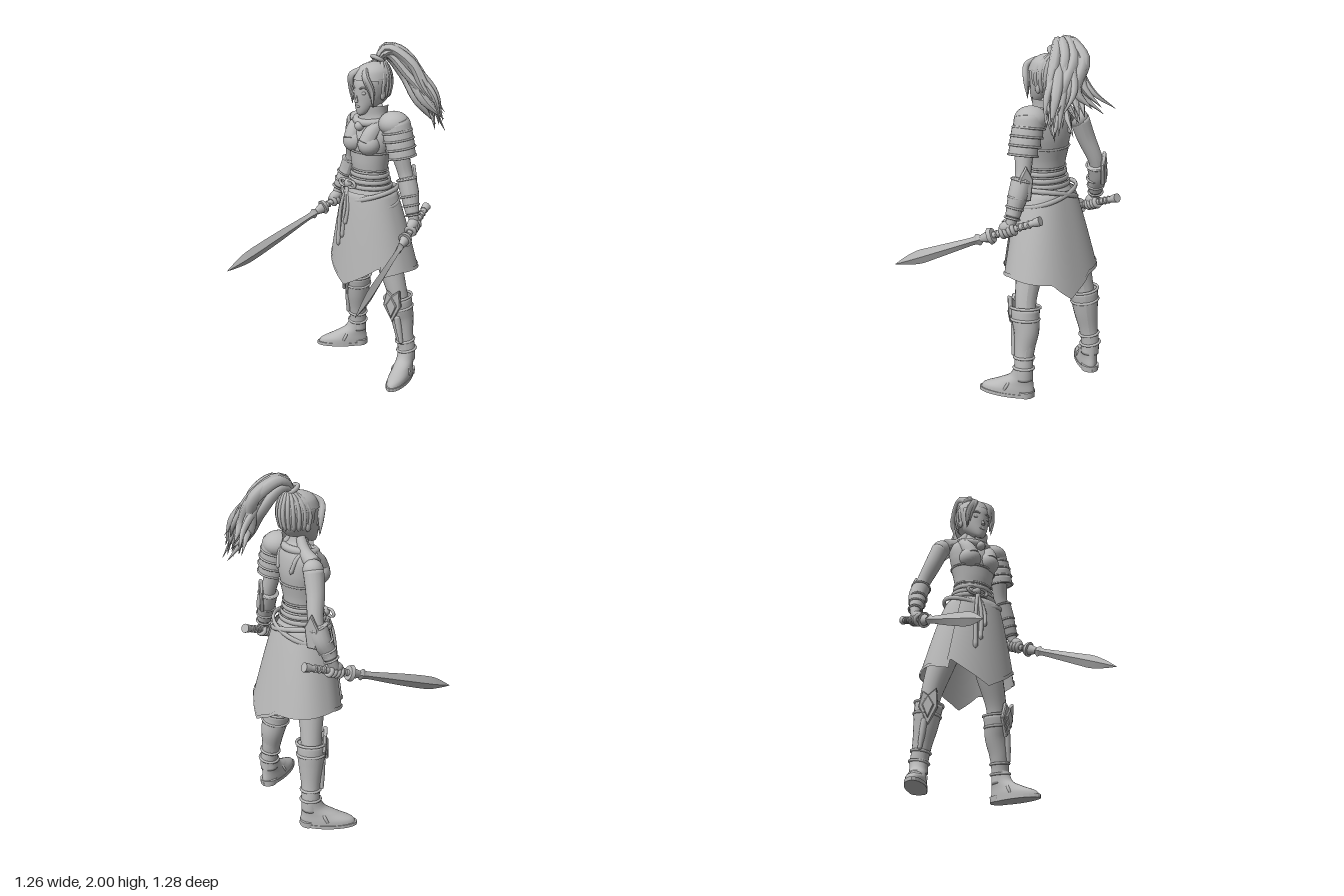
import * as THREE from 'three';
import { ParametricGeometry } from 'three/addons/geometries/ParametricGeometry.js';

const V = (x, y, z) => new THREE.Vector3(x, y, z);
const grey = new THREE.MeshStandardMaterial({ color: 0xb9b9b9, side: THREE.DoubleSide });
grey.name = 'plain grey';

function add(parent, name, geo, pos = [0, 0, 0], scale = [1, 1, 1], rot = [0, 0, 0]) {
  const m = new THREE.Mesh(geo, grey);
  m.name = name;
  m.position.set(...pos); m.scale.set(...scale); m.rotation.set(...rot);
  parent.add(m);
  return m;
}

// smooth interpolation through rows of numbers
function sample(rows, t) {
  const k = t * (rows.length - 1), i = Math.min(Math.floor(k), rows.length - 2), f = k - i;
  const at = j => rows[Math.max(0, Math.min(rows.length - 1, j))];
  return rows[0].map((_, c) => {
    const a = at(i - 1)[c], b = at(i)[c], d = at(i + 1)[c], e = at(i + 2)[c];
    return b + 0.5 * f * (d - a + f * (2 * a - 5 * b + 4 * d - e + f * (3 * (b - d) + e - a)));
  });
}

// upright shell from elliptical rows [y, halfWidth, halfDepth, z]; angle 0 is the front
const shell = (rows, a0 = 0, a1 = Math.PI * 2, seg = 36, n = 36) => new ParametricGeometry((u, v, p) => {
  const [y, rx, rz, cz] = sample(rows, v), a = a0 + (a1 - a0) * u;
  p.set(Math.sin(a) * Math.max(rx, 0), y, cz + Math.cos(a) * Math.max(rz, 0));
}, seg, n);

// tapered tube through points [x, y, z, radius], closed at both ends
function limb(rows, seg = 24, sides = 14) {
  const curve = new THREE.CatmullRomCurve3(rows.map(r => V(r[0], r[1], r[2])));
  const g = new THREE.TubeGeometry(curve, seg, 1, sides), p = g.attributes.position, v = V();
  for (let i = 0; i <= seg; i++) {
    const u = i / seg, c = curve.getPointAt(u);
    const r = i % seg === 0 ? 0.0008 : sample(rows.map(q => [q[3]]), curve.getUtoTmapping(u))[0];
    for (let j = 0; j <= sides; j++) {
      const k = i * (sides + 1) + j;
      v.fromBufferAttribute(p, k).sub(c).multiplyScalar(r).add(c);
      p.setXYZ(k, v.x, v.y, v.z);
    }
  }
  g.computeVertexNormals();
  return g;
}

// strap around a limb, with its axis along dir
function strap(parent, name, pos, dir, r, tube = 0.008) {
  const m = add(parent, name, new THREE.TorusGeometry(r, tube, 8, 28), pos);
  m.quaternion.setFromUnitVectors(V(0, 0, 1), V(...dir).normalize());
}

// flat plate from outline points
function plate(points, depth = 0.014) {
  const s = new THREE.Shape(points.map(p => new THREE.Vector2(...p)));
  return new THREE.ExtrudeGeometry(s, { depth, bevelEnabled: true, bevelSize: 0.006, bevelThickness: 0.006, bevelSegments: 1 });
}

function buildTorso(b) {
  add(b, 'torso', shell([[0.98, 0.15, 0.12, -0.01], [1.1, 0.165, 0.135, -0.01], [1.2, 0.122, 0.1, 0], [1.27, 0.11, 0.088, 0],
    [1.36, 0.126, 0.098, -0.005], [1.45, 0.15, 0.104, -0.01], [1.53, 0.155, 0.088, -0.02], [1.585, 0.1, 0.065, -0.025],
    [1.625, 0.052, 0.05, -0.015], [1.7, 0.046, 0.046, -0.005]]));
  for (const s of [-1, 1]) {
    add(b, 'breastCup', new THREE.SphereGeometry(0.068, 24, 16), [s * 0.065, 1.435, 0.066], [1, 0.95, 0.95]);
    add(b, 'upperChest', limb([[s * 0.065, 1.44, 0.085, 0.05], [s * 0.075, 1.5, 0.06, 0.045], [s * 0.09, 1.56, 0, 0.035]]));
    add(b, 'shoulderStrap', limb([[s * 0.07, 1.48, 0.115, 0.012], [s * 0.085, 1.565, 0.035, 0.012], [s * 0.085, 1.56, -0.07, 0.012], [s * 0.06, 1.46, -0.115, 0.012]]));
    add(b, 'trapezius', limb([[s * 0.03, 1.65, -0.025, 0.025], [s * 0.09, 1.575, -0.035, 0.035], [s * 0.18, 1.53, -0.04, 0.045]]));
  }
  // bodice, belts and slanting hip belts
  add(b, 'bodice', shell([[1.27, 0.115, 0.094, 0], [1.32, 0.124, 0.1, 0], [1.385, 0.139, 0.108, -0.005]]));
  for (const [y, r, d] of [[1.385, 0.14, 0.109], [1.275, 0.117, 0.096]])
    add(b, 'bodiceEdge', new THREE.TorusGeometry(1, 0.05, 6, 40), [0, y, -0.003], [r, d, 0.12], [Math.PI / 2, 0, 0]);
  for (const [y, r, d] of [[1.18, 0.14, 0.118], [1.21, 0.13, 0.109], [1.245, 0.121, 0.1]])
    add(b, 'waistBelt', new THREE.TorusGeometry(1, 0.06, 8, 40), [0, y, 0], [r, d, 0.24], [Math.PI / 2, 0, 0]);
  for (const t of [-0.24, 0.28])
    add(b, 'hipBelt', new THREE.TorusGeometry(1, 0.06, 8, 40), [0, 1.115, -0.008], [0.186, 0.15, 0.24], [Math.PI / 2 + 0.15, t, 0]);
  add(b, 'sashKnot', new THREE.SphereGeometry(0.028, 14, 10), [-0.05, 1.19, 0.12]);
  for (const s of [-1, 1])
    add(b, 'sashLoop', new THREE.TorusGeometry(0.026, 0.009, 8, 18), [-0.05 + s * 0.035, 1.19, 0.13], [1.2, 0.8, 1]);
  [[-0.075, 0.8], [-0.04, 0.86], [-0.015, 0.95]].forEach(([x, y]) => add(b, 'hangingSash',
    limb([[-0.05, 1.18, 0.13, 0.01], [x, 1.05, 0.157, 0.011], [x - 0.01, y, 0.17, 0.014]])));
  // collar and scarf
  add(b, 'collar', shell([[1.55, 0.125, 0.09, -0.02], [1.6, 0.1, 0.08, -0.015], [1.655, 0.1, 0.085, -0.015]], -0.3, 2.4, 30, 10));
  add(b, 'scarf', new THREE.TorusGeometry(0.085, 0.022, 10, 36), [0, 1.57, -0.005], [1.1, 0.95, 1], [Math.PI / 2 + 0.2, 0, 0]);
  add(b, 'scarfKnot', new THREE.SphereGeometry(0.028, 14, 10), [0, 1.535, 0.085]);
}

function buildSkirt(b) {
  // the front hangs steeply; the back flares out with squarish corners
  const panel = (hem, grow, a0, a1, band) => new ParametricGeometry((u, v, p) => {
    const a = a0 + (a1 - a0) * u, y0 = hem(u), y = band ? y0 + 0.02 * v : y0 + (1.15 - y0) * v;
    const t = (1.15 - y) / 0.45, f = Math.pow(Math.max(t, 0), 0.85);
    const c = Math.cos(a), s = Math.sin(a), k = c < 0 ? 0.82 : 1;
    p.set(Math.sign(s) * Math.abs(s) ** k * (0.16 + 0.13 * f + grow), y,
      Math.sign(c) * Math.abs(c) ** k * (0.135 + 0.075 * f + grow) - 0.035 * t);
  }, 72, band ? 2 : 16);
  const tip = (u, m, w) => Math.max(0, 1 - Math.abs(u - m) / w);
  const back = u => 0.7 - 0.03 * tip(u, 0.46, 0.4) - 0.09 * tip(u, 0.46, 0.09) - 0.03 * Math.max(0, Math.abs(u - 0.5) * 2 - 0.75) / 0.25;
  const front = u => 0.72 - 0.14 * tip(u, 0.5, 0.45);
  add(b, 'skirtBack', panel(back, 0, 0.85, Math.PI * 2 - 0.85));
  add(b, 'skirtBackTrim', panel(back, 0.005, 0.85, Math.PI * 2 - 0.85, true));
  add(b, 'skirtFront', panel(front, 0.008, -0.9, 0.87));
  add(b, 'skirtFrontTrim', panel(front, 0.013, -0.9, 0.87, true));
}

function buildHead(b) {
  const h = new THREE.Group();
  h.name = 'head'; h.position.set(0, 0, -0.008); b.add(h);
  add(h, 'face', shell([[1.597, 0.004, 0.004, 0.085], [1.607, 0.026, 0.026, 0.075], [1.635, 0.05, 0.058, 0.05], [1.68, 0.074, 0.091, 0.02],
    [1.73, 0.086, 0.106, 0.008], [1.79, 0.092, 0.11, 0], [1.85, 0.078, 0.088, -0.01], [1.885, 0.03, 0.04, -0.01]]));
  add(h, 'nose', new THREE.ConeGeometry(0.012, 0.05, 8), [0, 1.7, 0.114], [1, 1, 1], [-0.2, 0, 0]);
  add(h, 'lips', new THREE.SphereGeometry(0.016, 12, 8), [0, 1.652, 0.105], [1.2, 0.5, 0.5]);
  for (const s of [-1, 1]) {
    add(h, 'eye', new THREE.SphereGeometry(0.017, 12, 8), [s * 0.038, 1.73, 0.098], [1.1, 0.6, 0.5]);
    add(h, 'brow', limb([[s * 0.015, 1.752, 0.11, 0.004], [s * 0.04, 1.762, 0.105, 0.006], [s * 0.068, 1.755, 0.083, 0.003]], 10, 8));
    add(h, 'ear', new THREE.SphereGeometry(0.03, 12, 10), [s * 0.088, 1.715, -0.005], [0.4, 1, 0.6]);
    // fringe locks framing the face
    for (const [w, y] of [[0.07, 1.7], [0.084, 1.67], [0.093, 1.65]])
      add(h, 'fringeLock', limb([[s * 0.012, 1.865, 0.055, 0.012], [s * w * 0.7, 1.825, 0.1, 0.016], [s * w, 1.75, 0.08, 0.014], [s * w * 0.95, y, 0.068, 0.003]], 18, 8));
  }
  add(h, 'hairTop', shell([[1.8, 0.104, 0.12, -0.006], [1.85, 0.088, 0.102, -0.01], [1.88, 0.055, 0.065, -0.017], [1.895, 0.003, 0.003, -0.02]]));
  add(h, 'hairBack', shell([[1.655, 0.05, 0.066, -0.01], [1.7, 0.085, 0.1, -0.01], [1.76, 0.101, 0.117, -0.008], [1.81, 0.103, 0.119, -0.006]], 1.2, Math.PI * 2 - 1.2));
  // combed ridges rising to the hair tie
  for (let i = 0; i < 13; i++) {
    const a = 1.5 + i * 0.273, x = Math.sin(a), z = Math.cos(a);
    add(h, 'hairRidge', limb([[x * 0.08, 1.69, z * 0.095 - 0.01, 0.012], [x * 0.098, 1.78, z * 0.115 - 0.006, 0.013],
      [x * 0.074, 1.85, z * 0.086 - 0.02, 0.013], [x * 0.02, 1.9, z * 0.02 - 0.055, 0.012]], 14, 6));
  }
}

function buildPonytail(root) {
  let seed = 7;
  const rnd = () => (seed = (seed * 16807) % 2147483647) / 2147483647;
  strap(root, 'hairTie', [0.225, 1.905, -0.25], [0.5, 1, -0.3], 0.034, 0.013);
  for (let i = 0; i < 30; i++) {
    const f = i / 29, e = f * f, j = () => rnd() - 0.5, w = 0.016 + 0.013 * rnd(), d = j() * 0.1;
    add(root, 'ponytailLock', limb([
      [0.215, 1.89, -0.25, 0.014],
      [0.285 + j() * 0.05, 1.95 + d * 0.5, -0.25 - 0.06 * f + j() * 0.04, w],
      [0.41 - 0.03 * e + j() * 0.05, 1.85 + d, -0.24 - 0.13 * f + j() * 0.05, w * 1.25],
      [0.525 - 0.09 * e + j() * 0.06, 1.71 + d, -0.22 - 0.18 * e + j() * 0.08, w],
      [0.6 - 0.13 * e + j() * 0.06, 1.57 + d + 0.04 * e + j() * 0.08, -0.21 - 0.3 * e * f + j() * 0.08, 0.002]], 20, 7));
  }
}

// sword with the gripping hand; y runs from pommel to point
function buildSword(root, side, pommel, tip) {
  const g = new THREE.Group(), y = V(...tip).sub(V(...pommel)), L = y.length();
  y.normalize();
  const x = V(0, 1, 0).addScaledVector(y, -y.y).normalize();
  g.name = side + 'Sword';
  g.position.set(...pommel);
  g.quaternion.setFromRotationMatrix(new THREE.Matrix4().makeBasis(x, y, V().crossVectors(x, y)));
  root.add(g);
  const blade = shell([[0.36, 0.014, 0.014, 0], [0.39, 0.034, 0.02, 0], [0.42, 0.022, 0.015, 0], [0.55, 0.028, 0.016, 0],
    [0.7, 0.036, 0.018, 0], [L - 0.17, 0.039, 0.018, 0], [L - 0.08, 0.024, 0.012, 0], [L, 0.001, 0.001, 0]], 0, Math.PI * 2, 4, 40).toNonIndexed();
  blade.computeVertexNormals();
  add(g, 'blade', blade);
  add(g, 'handle', new THREE.CylinderGeometry(0.017, 0.018, 0.36, 14), [0, 0.19, 0]);
  add(g, 'pommelCap', new THREE.CylinderGeometry(0.022, 0.026, 0.04, 14), [0, 0.02, 0]);
  for (const s of [0.07, 0.1, 0.13, 0.27]) strap(g, 'handleRing', [0, s, 0], [0, 1, 0], 0.018, 0.005);
  add(g, 'guardDisc', new THREE.CylinderGeometry(0.047, 0.04, 0.022, 20), [0, 0.305, 0], [1, 1, 0.85]);
  add(g, 'guardCollar', new THREE.CylinderGeometry(0.02, 0.034, 0.05, 14), [0, 0.345, 0], [1, 1, 0.8]);
  for (let i = 0; i < 4; i++) strap(g, 'finger', [0, 0.165 + i * 0.023, 0], [0, 1, 0.1], 0.025, 0.0125);
  add(g, 'palm', new THREE.SphereGeometry(0.042, 16, 12), [0.022, 0.2, 0], [0.8, 1.1, 0.75]);
}

function buildArm(root, side, p, out) {
  add(root, side + 'Arm', limb(p, 32));
  const [s, , e, f, w] = p, dir = [e[0] - w[0], e[1] - w[1], e[2] - w[2]];
  const mix = (t, r) => [...[0, 1, 2].map(i => e[i] + (w[i] - e[i]) * t), r];
  add(root, side + 'Shoulder', new THREE.SphereGeometry(0.056, 20, 14), [s[0], s[1] - 0.015, s[2]]);
  add(root, side + 'Bracer', limb([mix(0.02, 0.056), [f[0], f[1], f[2], 0.054], mix(0.72, 0.045), mix(0.95, 0.039)]));
  [[0.1, 0.055], [0.5, 0.05], [0.72, 0.046], [0.95, 0.04]].forEach(([t, r]) => strap(root, side + 'BracerStrap', mix(t, 0).slice(0, 3), dir, r, 0.006));
  // pointed guard over the elbow
  add(root, side + 'ElbowGuard', plate([[0, 0.085], [0.034, 0.02], [0.022, -0.09], [-0.022, -0.09], [-0.034, 0.02]], 0.01),
    [e[0] + Math.sin(out) * 0.04, e[1] - 0.03, e[2] + Math.cos(out) * 0.04], [1, 1, 1], [0, out, 0]);
}

function buildLeg(root, side, p, yaw) {
  add(root, side + 'Leg', limb(p, 32, 18));
  const [, , k, c, a] = p, dir = [k[0] - a[0], k[1] - a[1], k[2] - a[2]];
  const mix = (t, r) => [...[0, 1, 2].map(i => k[i] + (a[i] - k[i]) * t), r];
  add(root, side + 'BootShaft', limb([mix(0.06, 0.082), mix(0.2, 0.08), [c[0], c[1], c[2], 0.071], mix(0.75, 0.055), [a[0], a[1], a[2], 0.052], [a[0], 0.09, a[2], 0.053]], 30, 20));
  [[0.08, 0.083], [0.26, 0.078], [0.84, 0.055], [1.0, 0.056]].forEach(([t, r]) => strap(root, side + 'BootStrap', mix(t, 0).slice(0, 3), dir, r, 0.008));
  const g = new THREE.Group();
  g.name = side + 'Foot'; g.position.set(a[0], 0, a[2]); g.rotation.y = yaw; root.add(g);
  add(g, 'bootFoot', shell([[0.018, 0.058, 0.157, 0.098], [0.045, 0.057, 0.147, 0.088], [0.08, 0.052, 0.105, 0.05], [0.12, 0.05, 0.068, 0.014], [0.18, 0.052, 0.053, 0]]));
  const sole = new THREE.Shape().absellipse(0, -0.1, 0.061, 0.165, 0, Math.PI * 2);
  add(g, 'sole', new THREE.ExtrudeGeometry(sole, { depth: 0.02, bevelEnabled: false }), [0, 0, 0], [1, 1, 1], [-Math.PI / 2, 0, 0]);
  add(g, 'heel', new THREE.CylinderGeometry(0.052, 0.05, 0.035, 18), [0, 0.0175, -0.012]);
  add(g, 'instepStrap', new THREE.TorusGeometry(0.054, 0.009, 8, 24), [0, 0.055, 0.09], [1, 0.95, 1], [-0.5, 0, 0]);
  // knee and shin plates
  const q = new THREE.Group();
  q.name = side + 'KneeGuard'; q.position.set(k[0], k[1], k[2]); q.rotation.y = yaw; root.add(q);
  add(q, 'kneePlate', plate([[-0.03, 0.025], [0, 0.0], [0.045, 0.04], [0.05, -0.06], [0, -0.16], [-0.05, -0.06]]), [0, -0.005, 0.068], [1, 1, 1], [0.08, 0, 0]);
  add(q, 'kneeDiamond', plate([[0, 0.05], [0.028, 0], [0, -0.07], [-0.028, 0]], 0.008), [0, -0.06, 0.082]);
  add(root, side + 'ShinRidge', limb([mix(0.35, 0.02), mix(0.6, 0.018), mix(0.85, 0.012)]), [Math.sin(yaw) * 0.061, 0, Math.cos(yaw) * 0.061]);
}

export function createModel() {
  const root = new THREE.Group();
  root.name = 'swordswoman';
  const body = new THREE.Group();
  body.name = 'body'; body.position.set(0.19, 0, -0.21); body.rotation.y = -Math.PI / 4;
  root.add(body);
  buildTorso(body); buildSkirt(body); buildHead(body);
  buildPonytail(root);
  buildArm(root, 'left', [[0.325, 1.535, -0.115, 0.055], [0.365, 1.41, -0.085, 0.052], [0.405, 1.27, -0.075, 0.042], [0.43, 1.17, -0.05, 0.046], [0.455, 1.04, -0.015, 0.03], [0.457, 0.99, 0, 0.028]], 1.9);
  buildArm(root, 'right', [[0.095, 1.53, -0.39, 0.056], [0.077, 1.41, -0.435, 0.052], [0.065, 1.26, -0.5, 0.042], [0.035, 1.17, -0.515, 0.046], [-0.02, 1.05, -0.51, 0.03], [-0.04, 0.99, -0.495, 0.028]], 2.8);
  // layered shoulder armour on the left side
  add(root, 'shoulderCap', new THREE.SphereGeometry(0.09, 24, 14), [0.33, 1.56, -0.118], [1, 0.8, 1]);
  [[0.342, 1.56, 0.084], [0.352, 1.515, 0.086], [0.364, 1.468, 0.084], [0.375, 1.42, 0.079]].forEach(([x, y, r], i) => {
    const z = -0.11 + i * 0.01;
    add(root, 'shoulderBand', limb([[x - 0.006, y + 0.02, z, r * 0.88], [x, y, z, r * 0.97], [x + 0.008, y - 0.045, z + 0.004, r]], 20, 24));
    strap(root, 'shoulderBandEdge', [x + 0.008, y - 0.042, z + 0.004], [-0.2, 1, -0.1], r, 0.006);
  });
  buildLeg(root, 'left', [[0.26, 0.98, -0.18, 0.09], [0.31, 0.75, -0.13, 0.08], [0.37, 0.54, -0.095, 0.06], [0.402, 0.38, -0.1, 0.062], [0.436, 0.17, -0.085, 0.042], [0.438, 0.08, -0.08, 0.04]], -0.36);
  buildLeg(root, 'right', [[0.14, 0.98, -0.3, 0.09], [0.12, 0.75, -0.38, 0.08], [0.11, 0.54, -0.437, 0.06], [0.11, 0.38, -0.457, 0.062], [0.11, 0.17, -0.488, 0.042], [0.11, 0.08, -0.488, 0.04]], -1.43);
  buildSword(root, 'left', [0.53, 1.06, -0.165], [0.17, 0.69, 0.64]);
  buildSword(root, 'right', [0.11, 1.06, -0.62], [-0.635, 0.68, 0.03]);
  return root;
}
